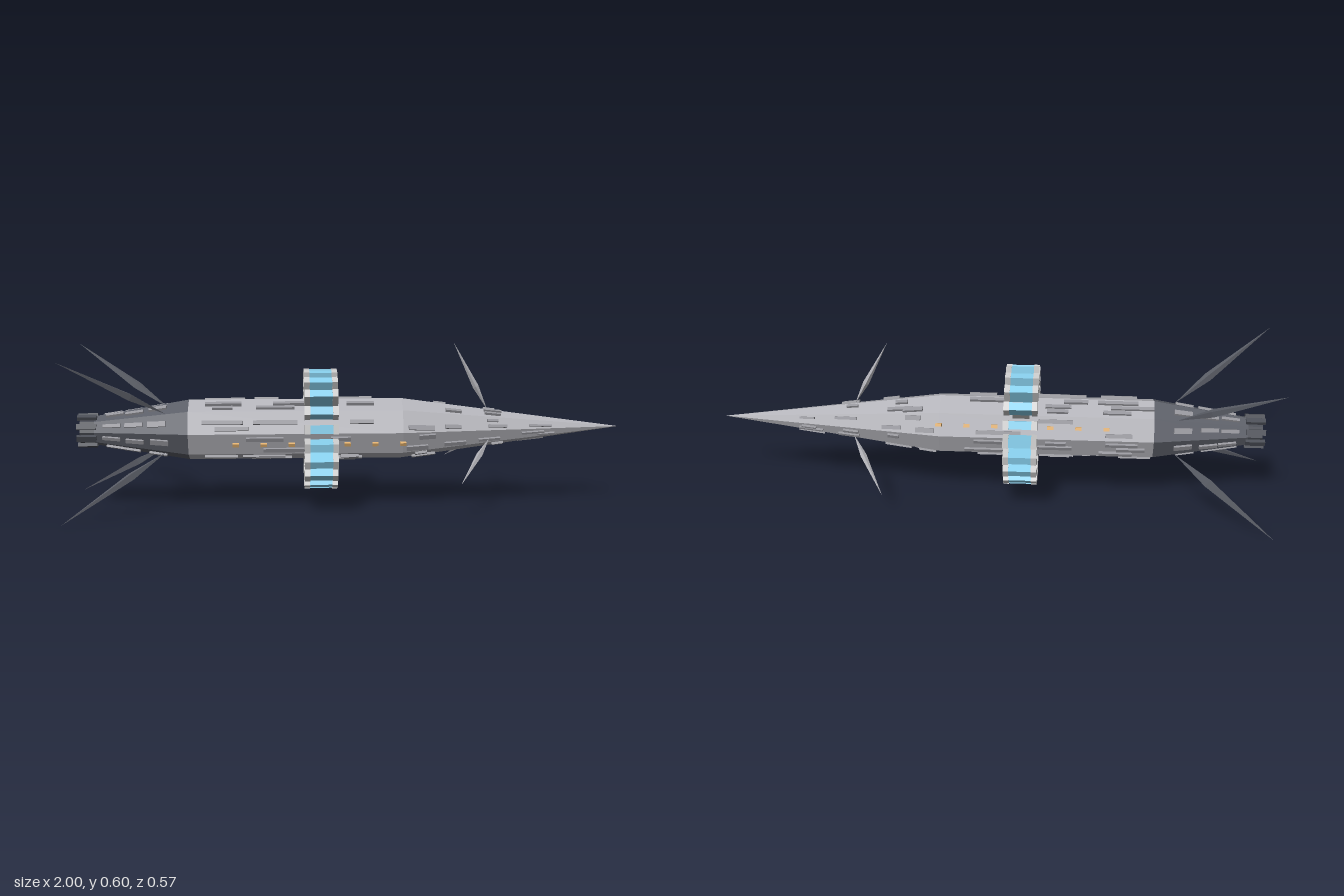
import * as THREE from 'three';

const mat = (color) => new THREE.MeshStandardMaterial({ color, flatShading: true, side: THREE.DoubleSide });
const AXIS_Y = 0.285;
const COS = Math.cos(Math.PI / 8);

// Hull radius stations along x, tail to nose
const STATIONS = [[-0.92, 0.05], [-0.57, 0.11], [0.2, 0.11], [1, 0]];

function rng(seed) {
  return () => {
    seed = (seed * 16807) % 2147483647;
    return seed / 2147483647;
  };
}

export function createModel() {
  const root = new THREE.Group();
  root.name = 'spaceship';
  const ship = new THREE.Group();
  ship.name = 'ship';
  ship.position.y = AXIS_Y;
  root.add(ship);

  const hullMat = mat(0xb4b4ba), plateMat = mat(0x96969c), tailMat = mat(0x5c5f68);
  const darkMat = mat(0x4a4d55), podMat = mat(0xcccccc), blueMat = mat(0x87ceeb), windowMat = mat(0xe0b070);

  const add = (name, geo, material, parent = ship) => {
    const mesh = new THREE.Mesh(geo, material);
    mesh.name = name;
    parent.add(mesh);
    return mesh;
  };

  // Eight-sided section lying along x
  const section = (name, x0, r0, x1, r1, material) => {
    const geo = new THREE.CylinderGeometry(r1, r0, x1 - x0, 8);
    geo.rotateZ(-Math.PI / 2);
    geo.translate((x0 + x1) / 2, 0, 0);
    add(name, geo, material);
  };
  ['tailCone', 'mainHull', 'noseCone'].forEach((name, i) =>
    section(name, ...STATIONS[i], ...STATIONS[i + 1], i ? hullMat : tailMat));

  // Engine with clamps round its rim
  section('engine', -0.96, 0.052, -0.9, 0.052, darkMat);
  for (let k = 0; k < 8; k++) {
    const a = (k + 0.5) * Math.PI / 4;
    const geo = new THREE.BoxGeometry(0.07, 0.014, 0.02);
    geo.translate(-0.935, 0.054, 0);
    geo.rotateX(a);
    add('engineClamp', geo, darkMat);
  }

  // Box lying on hull facet k at position x, shifted sideways by t
  const plate = (name, k, x, t, len, wid, high, material) => {
    let i = 0;
    while (i < 2 && x > STATIONS[i + 1][0]) i++;
    const [[x0, r0], [x1, r1]] = [STATIONS[i], STATIONS[i + 1]];
    const slope = (r1 - r0) / (x1 - x0);
    const geo = new THREE.BoxGeometry(len, high, wid);
    geo.rotateZ(Math.atan(slope * COS));
    geo.translate(x, (r0 + slope * (x - x0)) * COS + high * 0.25, t);
    geo.rotateX((k + 0.5) * Math.PI / 4);
    add(name, geo, material);
  };

  const rand = rng(4711);
  for (let k = 0; k < 8; k++) {
    // Panels in staggered rows on the main hull
    for (const cx of [-0.46, -0.25, 0.02]) {
      for (let row = -1; row <= 1; row++) {
        if (rand() < 0.35 || (row === 0 && (k === 2 || k === 6))) continue;
        plate('hullPanel', k, cx + (rand() - 0.5) * 0.1, row * 0.023,
          0.06 + rand() * 0.1, 0.014, 0.01 + rand() * 0.006, plateMat);
      }
    }
    // Panels on the nose, growing narrower towards the tip
    for (const [cx, spread] of [[0.27, 0.022], [0.37, 0.016], [0.52, 0.01], [0.7, 0.005]]) {
      for (const s of [-1, 1]) {
        if (rand() < 0.45) continue;
        plate('nosePanel', k, cx + (rand() - 0.5) * 0.06, s * spread,
          0.04 + rand() * 0.06, spread * 0.6 + 0.004, 0.012, plateMat);
      }
    }
    // Strips down the tail
    for (const [cx, w] of [[-0.84, 0.012], [-0.77, 0.015], [-0.68, 0.02]])
      plate('tailPanel', k, cx + (rand() - 0.5) * 0.02, (rand() - 0.5) * 0.01, 0.065, w, 0.011, plateMat);
  }

  // Lit windows along both sides
  for (const k of [2, 6])
    for (let n = 0; n < 7; n++)
      plate('window', k, -0.4 + n * 0.1, 0, 0.022, 0.012, 0.014, windowMat);

  // Habitat ring: twenty pods with capped ends, four spokes
  const ring = new THREE.Group();
  ring.name = 'habitatRing';
  ring.position.x = -0.095;
  ship.add(ring);
  for (let i = 0; i < 20; i++) {
    const pod = new THREE.Group();
    pod.name = 'pod';
    pod.rotation.x = (i + 0.5) * Math.PI / 10;
    ring.add(pod);
    add('podBody', new THREE.BoxGeometry(0.08, 0.058, 0.029), blueMat, pod).position.y = 0.187;
    for (const s of [-1, 1])
      add('podCap', new THREE.BoxGeometry(0.02, 0.062, 0.033), podMat, pod).position.set(s * 0.05, 0.187, 0);
  }
  for (let i = 0; i < 4; i++) {
    const geo = new THREE.BoxGeometry(0.06, 0.07, 0.022);
    geo.translate(0, 0.13, 0);
    geo.rotateX((i + 0.5) * Math.PI / 2);
    add('spoke', geo, podMat, ring);
  }

  // Swept spindle fin from (x0, r0) to (x1, r1), turned about the hull axis
  const fin = (name, x0, r0, x1, r1, thick, angle, material) => {
    const len = Math.hypot(x1 - x0, r1 - r0);
    const pts = [[0, 0], [thick, len * 0.34], [0, len]].map((p) => new THREE.Vector2(...p));
    const geo = new THREE.LatheGeometry(pts, 4);
    geo.rotateZ(-Math.atan2(x1 - x0, r1 - r0));
    geo.translate(x0, r0, 0);
    geo.rotateX(angle);
    add(name, geo, material);
  };
  for (let i = 0; i < 4; i++)
    fin('tailFin', -0.65, 0.098, -1, 0.402, 0.016, (i + 0.5) * Math.PI / 2, tailMat);
  for (let i = 0; i < 3; i++)
    fin('noseFin', 0.515, 0.066, 0.388, 0.315, 0.011, i * Math.PI * 2 / 3, hullMat);

  return root;
}
